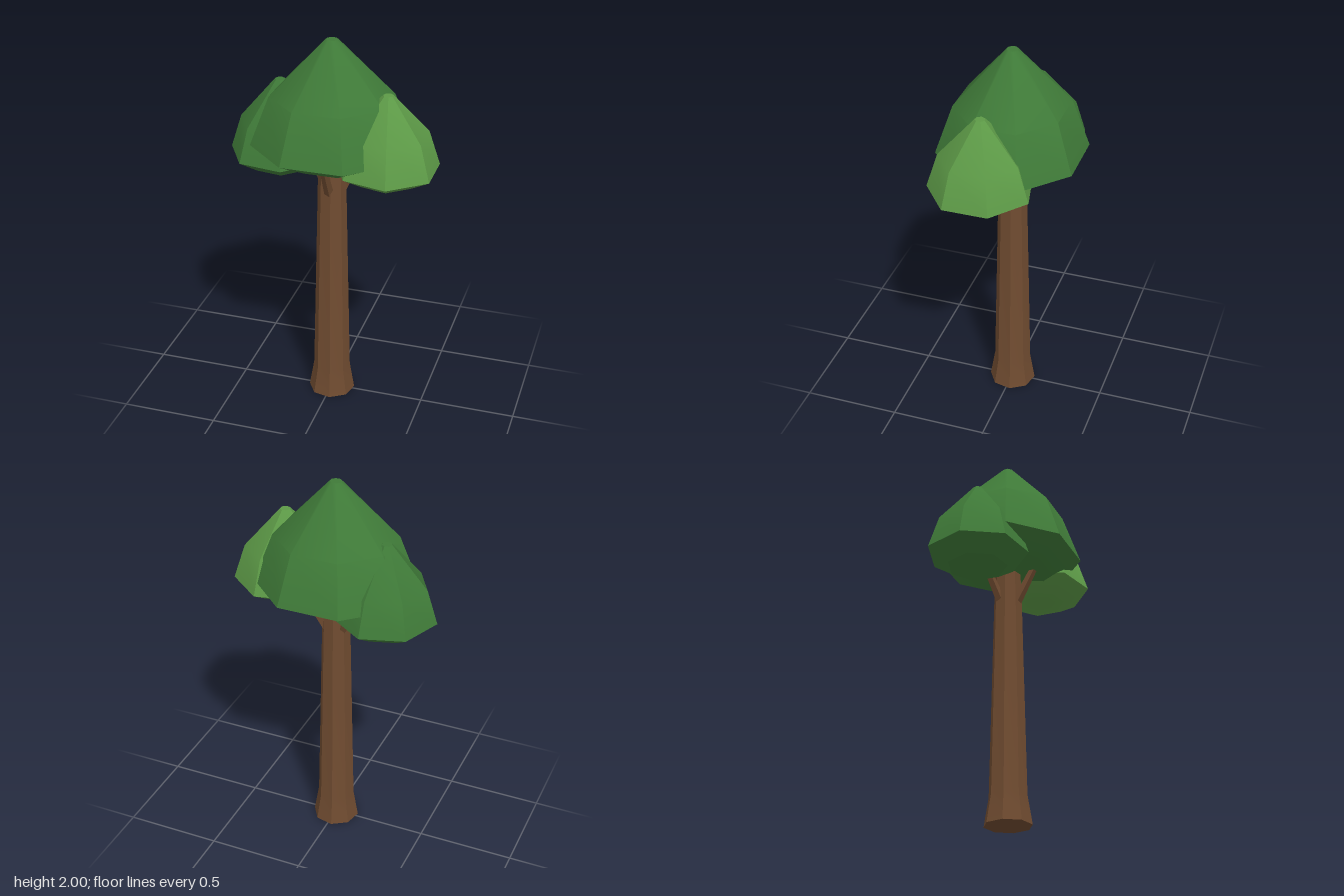
import * as THREE from 'three';
import { toCreasedNormals } from 'three/addons/utils/BufferGeometryUtils.js';

const deg = Math.PI / 180;

// Closed faceted solid: [radius, y] rings from bottom to top, one corner at the given angle (from +x towards +z)
function facetedSolid(name, rings, sides, cornerAngle, material) {
  const first = rings[0], last = rings[rings.length - 1];
  const points = [[0, first[1]], ...rings, [0, last[1]]].map(([r, y]) => new THREE.Vector2(r, y));
  const lathe = new THREE.LatheGeometry(points, sides, (90 - cornerAngle) * deg);
  const mesh = new THREE.Mesh(toCreasedNormals(lathe, 35 * deg), material);
  mesh.name = name;
  return mesh;
}

export function createModel() {
  const bark = new THREE.MeshStandardMaterial({ name: 'bark brown', color: 0x6f4b30 });
  const leaf = new THREE.MeshStandardMaterial({ name: 'leaf green', color: 0x3f7a38 });
  const lightLeaf = new THREE.MeshStandardMaterial({ name: 'light leaf green', color: 0x5d9a47 });

  const tree = new THREE.Group();
  tree.name = 'tree';

  // Trunk with a flared foot
  tree.add(facetedSolid('trunk', [[0.122, 0], [0.097, 0.15], [0.073, 1.22], [0.064, 1.42]], 8, 35, bark));

  // Three short branches rising into the foliage
  const up = new THREE.Vector3(0, 1, 0);
  for (const angle of [90, -30, 210]) {
    const dx = Math.cos(angle * deg), dz = Math.sin(angle * deg);
    const start = new THREE.Vector3(dx * 0.05, 1.2, dz * 0.05);
    const end = new THREE.Vector3(dx * 0.17, 1.42, dz * 0.17);
    const direction = end.clone().sub(start);
    const branch = facetedSolid('branch', [[0.026, 0], [0.018, direction.length()]], 5, 0, bark);
    branch.position.copy(start);
    branch.quaternion.setFromUnitVectors(up, direction.normalize());
    tree.add(branch);
  }

  // Large central crown, slightly wider than deep
  const crown = facetedSolid('mainCrown',
    [[0.21, 1.36], [0.39, 1.455], [0.297, 1.71], [0.03, 2]], 8, 22.5, leaf);
  crown.scale.set(1.06, 1, 0.97);
  tree.add(crown);

  // Smaller crowns at the sides
  const leftCrown = facetedSolid('leftCrown',
    [[0.155, 1.325], [0.265, 1.39], [0.207, 1.57], [0.026, 1.77]], 7, 25.7, lightLeaf);
  leftCrown.position.set(0.3, 0, 0.06);
  const rightCrown = facetedSolid('rightCrown',
    [[0.155, 1.285], [0.262, 1.355], [0.207, 1.53], [0.026, 1.745]], 7, 175.6, leaf);
  rightCrown.position.set(-0.285, 0, -0.05);
  tree.add(leftCrown, rightCrown);

  return tree;
}
